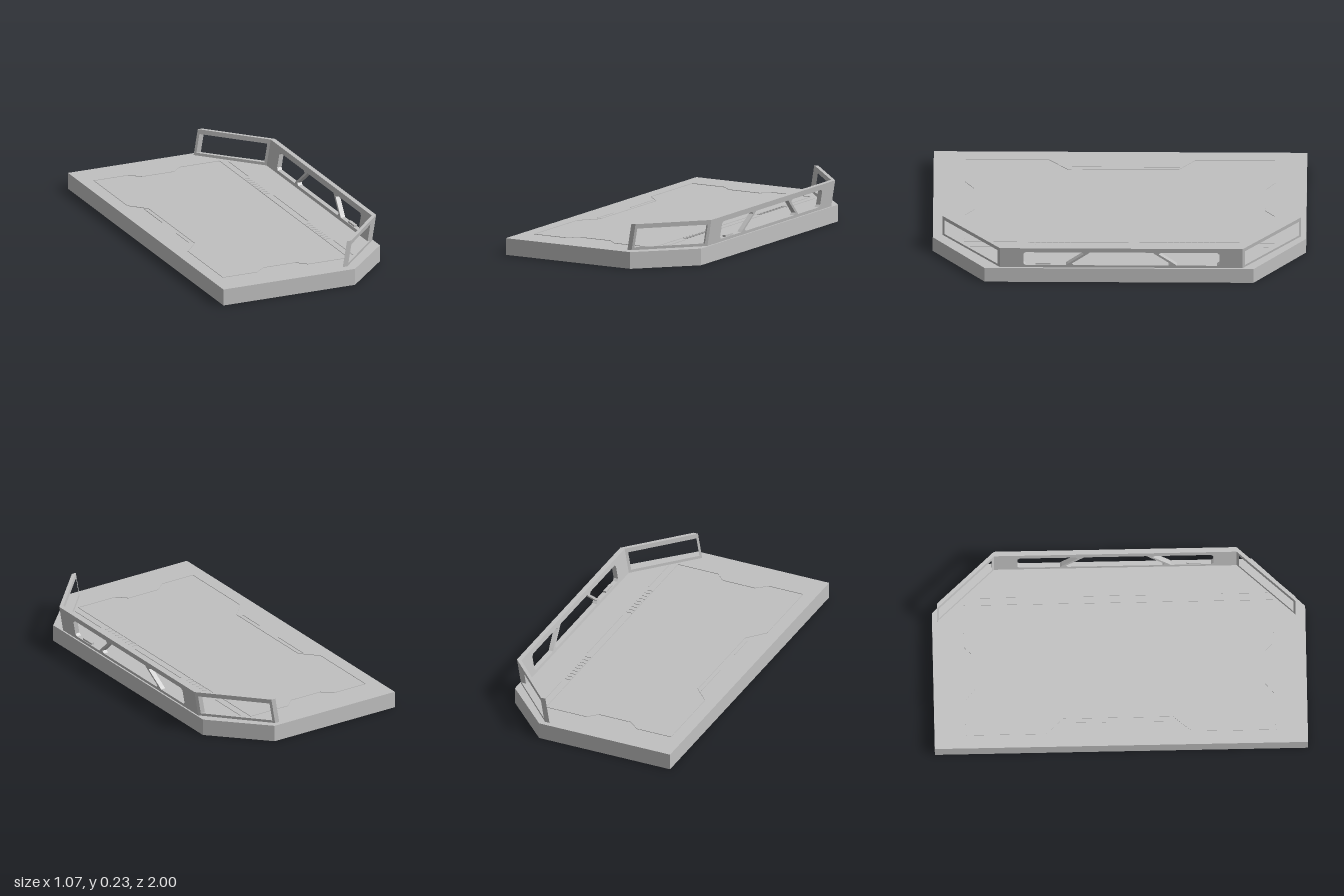
import * as THREE from 'three';

const DECK = 0.091, TOP = 0.235, CORNER = 0.65, RAIL_Z = -0.012;

// Closed outline from a list of corner points
const outline = (pts, Type = THREE.Shape) => new Type(pts.map(([a, b]) => new THREE.Vector2(a, b)));

// Window with slightly chamfered corners, between two slanted or upright sides
function windowHole(bl, br, tr, tl, y0 = 0.108, y1 = 0.205, c = 0.012) {
  return outline([
    [bl + c, y0], [br - c, y0], [br, y0 + c], [tr, y1 - c],
    [tr - c, y1], [tl + c, y1], [tl, y1 - c], [bl, y0 + c],
  ], THREE.Path);
}

// Upright panel along z that leans outward and bends back past the corners
function railPanel(pts, holes, material, name) {
  const shape = outline(pts);
  shape.holes.push(...holes);
  const geo = new THREE.ExtrudeGeometry(shape, { depth: 0.026, bevelEnabled: false });
  geo.rotateY(Math.PI / 2);
  const p = geo.attributes.position;
  for (let i = 0; i < p.count; i++) {
    const lean = 0.17 * (p.getY(i) - DECK);
    const bend = 0.93 * Math.max(0, Math.abs(p.getZ(i)) - CORNER);
    p.setX(i, p.getX(i) + 0.48 + lean - bend);
  }
  geo.computeVertexNormals();
  const mesh = new THREE.Mesh(geo, material);
  mesh.name = name;
  return mesh;
}

export function createModel() {
  const model = new THREE.Group();
  model.name = 'platform';
  const grey = new THREE.MeshStandardMaterial({ color: 0xc0c0c0 });
  grey.name = 'light grey';

  // Thick deck with two clipped corners
  const deckShape = outline([
    [-0.535, -1], [0.24, -1], [0.515, -0.72], [0.515, 0.72], [0.24, 1], [-0.535, 1],
  ]);
  const deckGeo = new THREE.ExtrudeGeometry(deckShape, { depth: DECK, bevelEnabled: false });
  deckGeo.rotateX(-Math.PI / 2);
  const deck = new THREE.Mesh(deckGeo, grey);
  deck.name = 'deck';
  model.add(deck);

  // Railing: long centre panel with three windows, and two angled wings
  const railing = new THREE.Group();
  railing.name = 'railing';
  railing.position.z = RAIL_Z;
  const rect = (a, b) => [[a, DECK - 0.002], [b, DECK - 0.002], [b, TOP], [a, TOP]];
  railing.add(railPanel(rect(-CORNER, CORNER), [
    windowHole(-0.525, -0.285, -0.2, -0.525),
    windowHole(-0.265, 0.265, 0.18, -0.18),
    windowHole(0.285, 0.525, 0.525, 0.2),
  ], grey, 'centrePanel'));
  for (const side of [-1, 1]) {
    const hole = [[0.662, 0.106], [0.95, 0.106], [0.95, 0.21], [0.662, 0.21]];
    railing.add(railPanel(
      rect(CORNER, 0.96).map(([u, y]) => [u * side, y]),
      [outline(hole.map(([u, y]) => [u * side, y]), THREE.Path)],
      grey, side > 0 ? 'backWing' : 'frontWing'));
  }
  // Small block on the window sill
  const block = new THREE.Mesh(new THREE.BoxGeometry(0.018, 0.012, 0.08), grey);
  block.position.set(0.496, 0.112, 0.42);
  block.name = 'sillBlock';
  railing.add(block);
  model.add(railing);

  // Fine raised lines on the deck
  const lines = new THREE.Group();
  lines.name = 'panelLines';
  model.add(lines);
  function line(x0, z0, x1, z1) {
    const length = Math.hypot(x1 - x0, z1 - z0);
    const m = new THREE.Mesh(new THREE.BoxGeometry(length, 0.004, 0.003), grey);
    m.position.set((x0 + x1) / 2, DECK + 0.001, (z0 + z1) / 2);
    m.rotation.y = -Math.atan2(z1 - z0, x1 - x0);
    m.name = 'panelLine';
    lines.add(m);
  }
  const path = (pts) => {
    for (let i = 1; i < pts.length; i++) line(...pts[i - 1], ...pts[i]);
  };

  // Stepped border, open toward the railing
  path([[-0.46, 0.83], [-0.46, 0.38], [-0.375, 0.28], [-0.375, -0.31], [-0.46, -0.4], [-0.46, -0.83]]);
  path([[-0.4, 0.26], [-0.4, 0.1]]);
  path([[-0.4, -0.08], [-0.4, -0.32]]);
  for (const s of [-1, 1]) {
    path([[-0.46, 0.83 * s], [-0.26, 0.83 * s], [-0.2, 0.78 * s], [-0.01, 0.78 * s],
      [0.04, 0.83 * s], [0.28, 0.83 * s]]);
    line(0.32, 0.55 * s, 0.32, 0.8 * s);
    // Row of short ticks
    for (let i = 0; i < 9; i++) {
      const z = s * (0.26 + i * 0.032);
      line(0.28, z, 0.315, z);
    }
  }
  line(0.28, -0.83, 0.28, 0.83);
  line(0.32, -0.22, 0.32, 0.22);

  return model;
}
